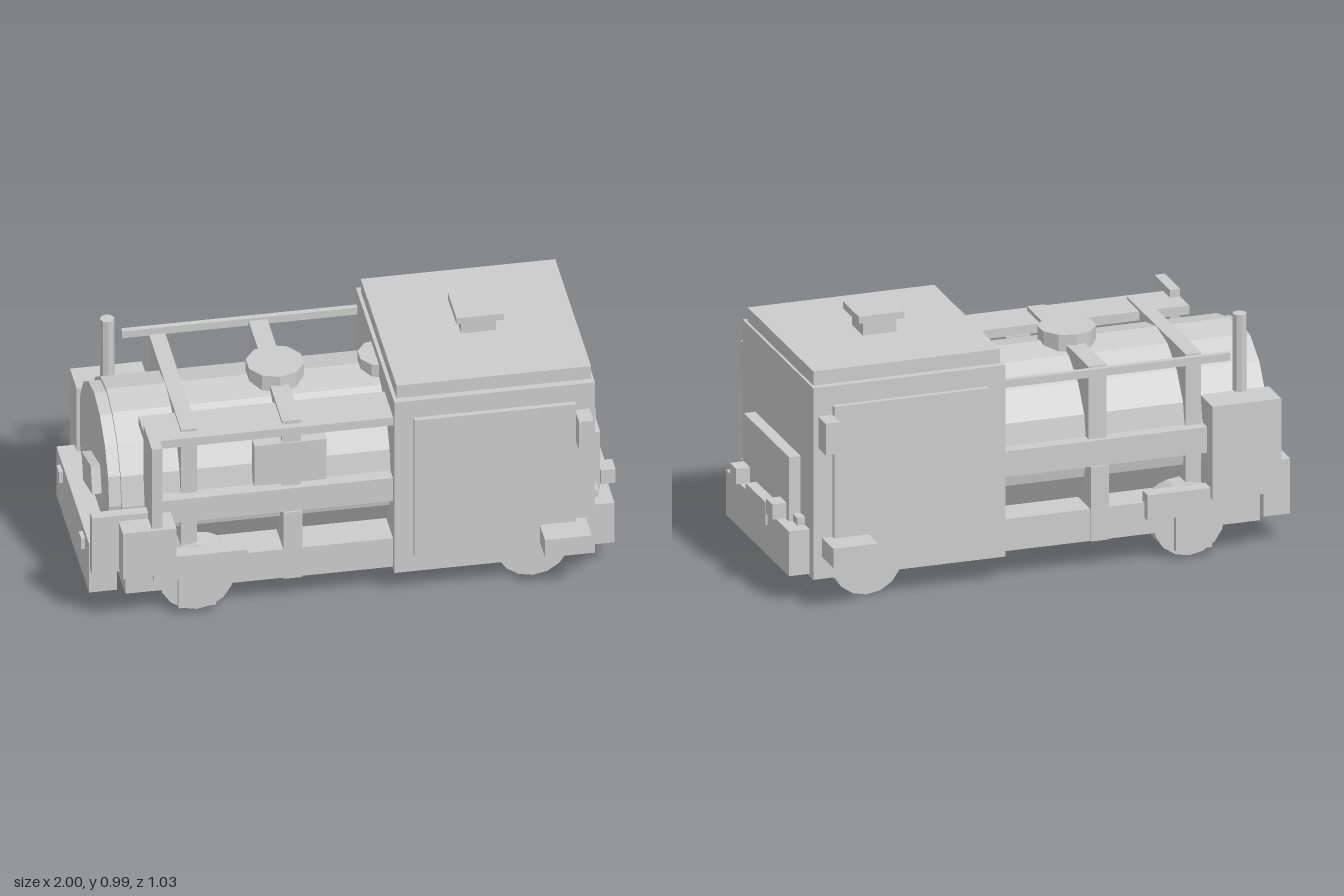
import * as THREE from 'three';

export function createModel() {
  const root = new THREE.Group();
  const mat = new THREE.MeshStandardMaterial({ color: 0xcccccc, flatShading: true });

  const add = (name, geo, x, y, z) => {
    const m = new THREE.Mesh(geo, mat);
    m.name = name;
    m.position.set(x, y, z);
    root.add(m);
    return m;
  };
  // box given by its extents
  const box = (name, x0, x1, y0, y1, z0, z1) =>
    add(name, new THREE.BoxGeometry(x1 - x0, y1 - y0, z1 - z0), (x0 + x1) / 2, (y0 + y1) / 2, (z0 + z1) / 2);
  // the same box on both sides of the engine
  const pair = (name, x0, x1, y0, y1, z0, z1) => {
    box(name + 'Left', x0, x1, y0, y1, z0, z1);
    box(name + 'Right', x0, x1, y0, y1, -z1, -z0);
  };
  // cylinder along x
  const drum = (name, x0, x1, y, r, sides) => {
    const g = new THREE.CylinderGeometry(r, r, x1 - x0, sides);
    g.rotateZ(Math.PI / 2);
    return add(name, g, (x0 + x1) / 2, y, 0);
  };

  // cab with stepped roof and square vent
  box('cab', 0.145, 0.895, 0.1, 0.85, -0.39, 0.39);
  box('roof', 0.158, 0.885, 0.85, 0.905, -0.363, 0.363);
  box('ventNeck', 0.455, 0.585, 0.905, 0.963, -0.062, 0.062);
  box('ventCap', 0.433, 0.61, 0.963, 0.99, -0.087, 0.087);
  pair('cabDoor', 0.217, 0.82, 0.175, 0.775, 0.39, 0.41);
  pair('cabStep', 0.685, 0.86, 0.185, 0.26, 0.39, 0.513);
  pair('cabLamp', 0.82, 0.875, 0.613, 0.737, 0.385, 0.472);

  // end wall of the cab
  box('rearBeam', 0.895, 0.975, 0.11, 0.285, -0.35, 0.35);
  box('rearLedge', 0.895, 0.925, 0.285, 0.315, -0.3, 0.3);
  box('rearPanel', 0.895, 0.94, 0.285, 0.537, -0.25, 0.25);
  box('rearPlate', 0.94, 0.982, 0.228, 0.317, -0.11, 0.11);
  pair('rearLamp', 0.945, 1.0, 0.295, 0.355, 0.165, 0.235);

  // boiler with smokebox disc, domes and door latch
  drum('boiler', -0.86, 0.15, 0.46, 0.318, 16);
  drum('smokeboxFront', -0.905, -0.86, 0.46, 0.305, 16);
  box('doorLatch', -0.94, -0.9, 0.39, 0.5, -0.055, 0.14).rotation.x = -0.3;
  add('dome', new THREE.CylinderGeometry(0.108, 0.108, 0.07, 10), -0.23, 0.79, 0);
  add('smallDome', new THREE.CylinderGeometry(0.09, 0.09, 0.07, 10), 0.17, 0.78, 0);

  // chassis, frames round the boiler and side bands
  box('chassis', -0.855, 0.15, 0.11, 0.235, -0.362, 0.362);
  box('frontFrame', -0.64, -0.58, 0.2, 0.78, -0.323, 0.323);
  box('middleFrame', -0.265, -0.195, 0.11, 0.785, -0.34, 0.34);
  pair('middlePost', -0.265, -0.195, 0.11, 0.4, 0.33, 0.37);
  pair('sideBand', -0.735, 0.15, 0.4, 0.5, 0.29, 0.362);
  box('topWalkway', -0.775, 0.15, 0.735, 0.77, 0.19, 0.367);
  box('topRail', -0.735, 0.15, 0.755, 0.785, -0.377, -0.355);
  box('sidePanel', -0.37, -0.1, 0.515, 0.69, 0.3, 0.345);

  // equipment on the front corners
  box('cornerPanel', -0.775, -0.735, 0.25, 0.8, 0.29, 0.463);
  box('cornerBox', -0.885, -0.685, 0.25, 0.45, 0.34, 0.475);
  box('cornerShield', -0.985, -0.735, 0.23, 0.475, 0.35, 0.39);
  box('toolLocker', -0.918, -0.65, 0.235, 0.6, -0.422, -0.285);
  add('exhaustPipe', new THREE.CylinderGeometry(0.027, 0.027, 0.42, 8), -0.805, 0.69, -0.28);

  // front beam and lamps
  box('frontBeam', -0.985, -0.88, 0.11, 0.325, -0.33, 0.33);
  box('frontBeamBracket', -0.89, -0.85, 0.21, 0.26, -0.3, 0.3);
  pair('frontLamp', -1.0, -0.965, 0.25, 0.297, 0.2, 0.25);

  // wheels, axle boxes and hanger plates
  for (const x of [-0.585, 0.67]) {
    for (const s of [-1, 1]) {
      const g = new THREE.CylinderGeometry(0.14, 0.14, 0.11, 16);
      g.rotateX(Math.PI / 2);
      add('wheel', g, x, 0.14, s * 0.29);
    }
  }
  pair('axleBox', -0.755, -0.405, 0.175, 0.275, 0.34, 0.4);
  pair('hangerPlate', -0.66, -0.52, 0.037, 0.2, 0.365, 0.385);

  return root;
}
